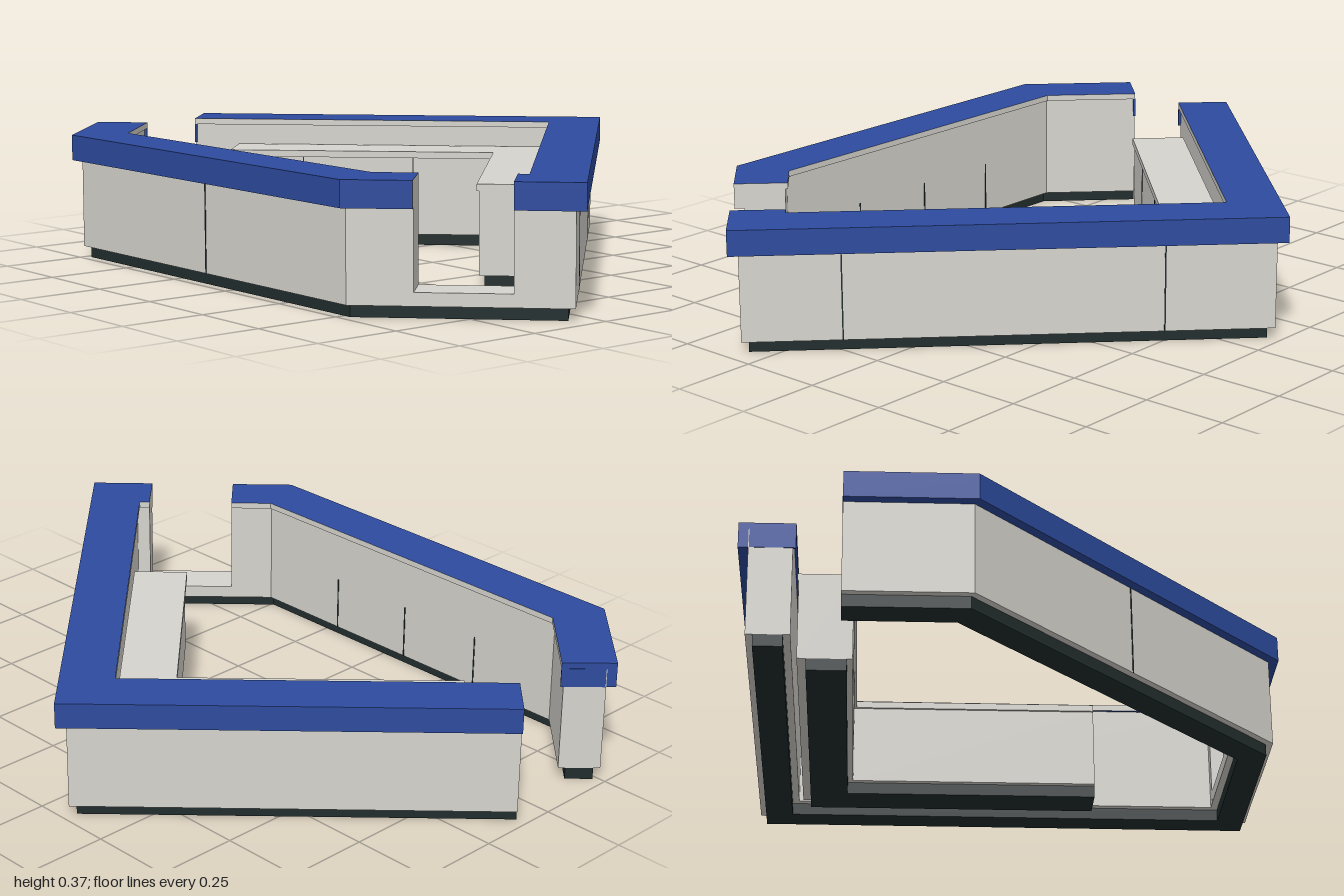
import * as THREE from 'three';

const mat = (name, color) => {
  const m = new THREE.MeshStandardMaterial({ color });
  m.name = name;
  return m;
};

// Offset an [x, z] polyline inwards by d, with mitred corners
function offset(path, d) {
  const normals = path.slice(1).map(([x, z], i) => {
    const dx = x - path[i][0], dz = z - path[i][1], l = Math.hypot(dx, dz);
    return [-dz / l, dx / l];
  });
  return path.map(([x, z], i) => {
    const a = normals[Math.max(i - 1, 0)], b = normals[Math.min(i, normals.length - 1)];
    const k = d / (1 + a[0] * b[0] + a[1] * b[1]);
    return [x + (a[0] + b[0]) * k, z + (a[1] + b[1]) * k];
  });
}

// Solid strip following a path, between offsets d0 and d1 and heights y0 and y1
function strip(name, path, d0, d1, y0, y1, main, alt = main, altFaces = []) {
  const o = offset(path, d0), n = offset(path, d1), last = path.length - 1;
  const pos = [[], []];
  const quad = (face, ...c) => {
    const out = pos[altFaces.includes(face) ? 1 : 0];
    for (const k of [0, 1, 2, 0, 2, 3]) out.push(c[k][0][0], c[k][1], c[k][0][1]);
  };
  const wall = (face, a, b) => quad(face, [a, y0], [b, y0], [b, y1], [a, y1]);
  for (let i = 0; i < last; i++) {
    wall('outer', o[i + 1], o[i]);
    wall('inner', n[i], n[i + 1]);
    quad('top', [o[i], y1], [n[i], y1], [n[i + 1], y1], [o[i + 1], y1]);
    quad('bottom', [o[i], y0], [o[i + 1], y0], [n[i + 1], y0], [n[i], y0]);
  }
  wall('start', o[0], n[0]);
  wall('end', n[last], o[last]);
  const g = new THREE.BufferGeometry();
  g.setAttribute('position', new THREE.Float32BufferAttribute([...pos[0], ...pos[1]], 3));
  g.addGroup(0, pos[0].length / 3, 0);
  if (pos[1].length) g.addGroup(pos[0].length / 3, pos[1].length / 3, 1);
  g.computeVertexNormals();
  const mesh = new THREE.Mesh(g, [main, alt]);
  mesh.name = name;
  return mesh;
}

export function createModel() {
  const model = new THREE.Group();
  model.name = 'counter';
  const blue = mat('blue coping', 0x2d4b9e);
  const grey = mat('warm grey panel', 0xd6d4ce);
  const dark = mat('dark plinth', 0x222d2d);

  // Outer outlines: V-shaped back run and angled front run, with a gate between
  const back = [[-1, 0.12], [-0.1, -0.775], [1, 0.32], [0.865, 0.452]];
  const front = [[0.68, 0.637], [0.545, 0.77], [-0.75, 0.77], [-1, 0.52]];
  const whole = [...back.slice(0, 3), ...front.slice(1)];
  const bench = [[-0.9, 0.022], [-0.1, -0.775], [0.63, -0.045]];

  // Plinth and the low sill under the gate
  model.add(strip('plinth', whole, 0.048, 0.128, 0, 0.035, dark));
  model.add(strip('gateSill', [back[3], front[0]], 0.028, 0.148, 0.035, 0.072, grey));

  // Walls with coping; the cut faces at the gate and the inner edges stay grey
  for (const [name, path, gate] of [['back', back, 'end'], ['front', front, 'start']]) {
    model.add(strip(name + 'Wall', path, 0.028, 0.148, 0.035, 0.352, grey));
    model.add(strip(name + 'CopingTop', path, 0, 0.156, 0.352, 0.37, blue, grey, [gate, 'inner']));
    model.add(strip(name + 'CopingFascia', path, 0, 0.03, 0.295, 0.352, blue, grey, [gate]));
    // Entrance end of the coping
    const tip = gate === 'end' ? path[0] : path[3];
    const next = gate === 'end' ? path[1] : path[2];
    const l = Math.hypot(next[0] - tip[0], next[1] - tip[1]);
    const near = tip.map((v, i) => v + (next[i] - v) * 0.006 / l);
    const beyond = tip.map((v, i) => v - (next[i] - v) * 0.001 / l);
    const cap = gate === 'end' ? [beyond, near] : [near, beyond];
    model.add(strip(name + 'CopingEnd', cap, 0.03, 0.156, 0.295, 0.352, blue));
  }

  // Inner bench
  model.add(strip('benchPlinth', bench, 0.185, 0.295, 0, 0.035, dark));
  model.add(strip('benchBody', bench, 0.16, 0.311, 0.035, 0.272, grey));
  model.add(strip('benchTop', bench, 0.156, 0.318, 0.272, 0.292, grey));

  // Thin panel seams, placed at a fraction along a path segment
  const seam = (a, b, t, d, y0, y1) => {
    const [p, q] = offset([a, b], d);
    const m = new THREE.Mesh(new THREE.BoxGeometry(0.004, y1 - y0, 0.003), dark);
    m.position.set(p[0] + (q[0] - p[0]) * t, (y0 + y1) / 2, p[1] + (q[1] - p[1]) * t);
    m.rotation.y = -Math.atan2(q[1] - p[1], q[0] - p[0]);
    m.name = 'panelSeam';
    model.add(m);
  };
  seam(front[1], front[2], 0.5, 0.028, 0.035, 0.295);
  for (const t of [0.22, 0.8]) seam(back[1], back[2], t, 0.028, 0.035, 0.295);
  for (const t of [0.28, 0.5, 0.72]) seam(front[1], front[2], t, 0.148, 0.035, 0.2);
  for (const t of [0.2, 0.5]) seam(bench[0], bench[1], t, 0.311, 0.035, 0.272);

  return model;
}
